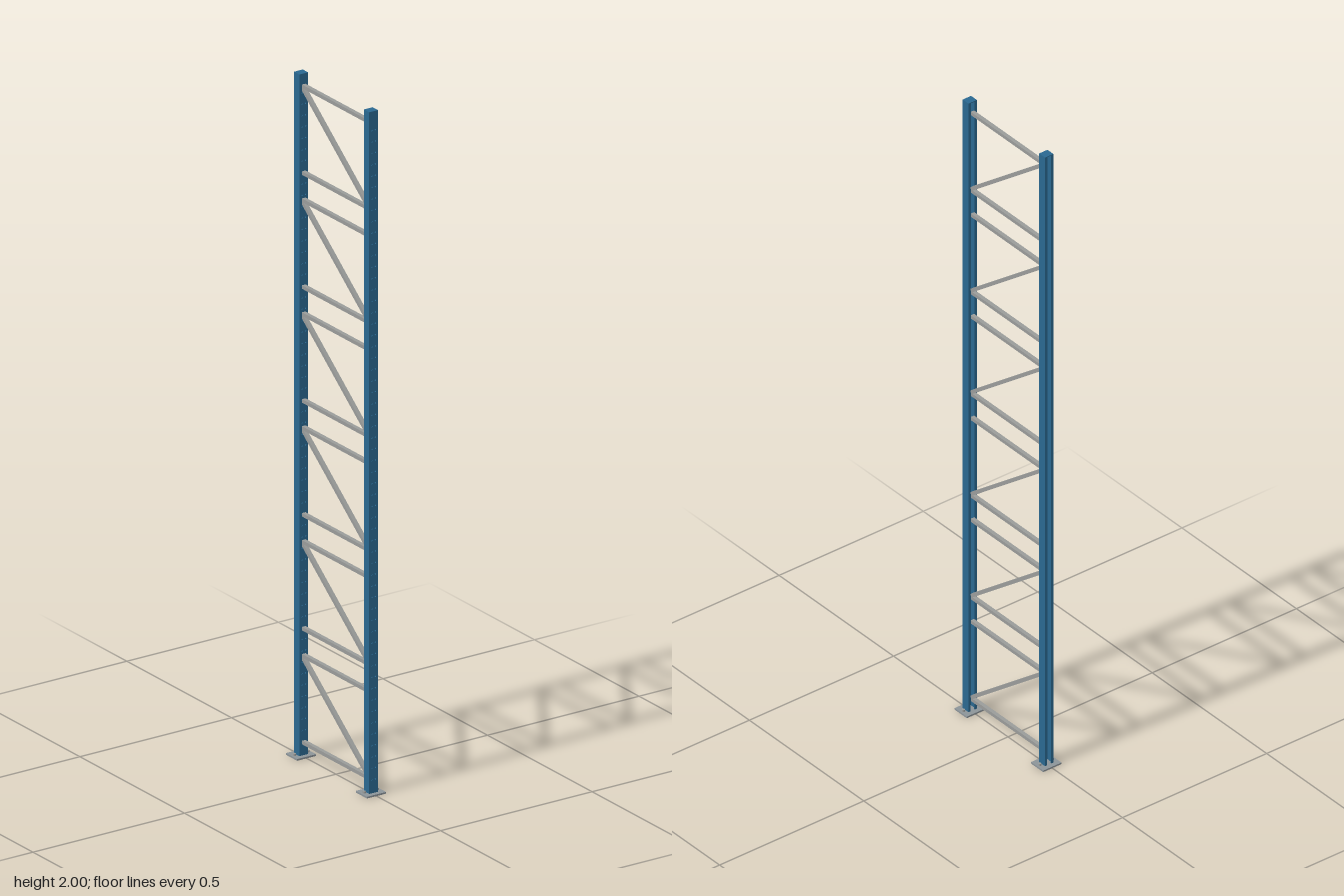
import * as THREE from 'three';

const blue = new THREE.MeshStandardMaterial({ color: 0x2a6890 });
const steel = new THREE.MeshStandardMaterial({ color: 0x9a9c9a });
const plateGrey = new THREE.MeshStandardMaterial({ color: 0x8c9499 });

const HEIGHT = 2, POST_Z = 0.167;
const W = 0.0145, D = 0.0128, T = 0.0025, LIP = 0.0075; // post half sizes, wall, lip
const PLATE_H = 0.005;

function add(parent, name, geometry, material, x = 0, y = 0, z = 0) {
  const mesh = new THREE.Mesh(geometry, material);
  mesh.name = name;
  mesh.position.set(x, y, z);
  parent.add(mesh);
  return mesh;
}

// Front web of a post, punched with two columns of holes
function webGeometry(length) {
  const shape = new THREE.Shape();
  shape.moveTo(-W, 0).lineTo(W, 0).lineTo(W, length).lineTo(-W, length).closePath();
  for (let y = 0.04; y < length - 0.02; y += 1 / 30) {
    for (const x of [-0.006, 0.006]) {
      const hole = new THREE.Path();
      hole.absarc(x, y, 0.0024, 0, Math.PI * 2, true);
      shape.holes.push(hole);
    }
  }
  return new THREE.ExtrudeGeometry(shape, { depth: T, bevelEnabled: false, curveSegments: 4 });
}

// L-shaped flange with a return lip, side = 1 or -1
function flangeGeometry(side, length) {
  const points = [[W, -D + T], [W, D], [W - LIP, D], [W - LIP, D - T], [W - T, D - T], [W - T, -D + T]];
  const shape = new THREE.Shape(points.map(([x, y]) => new THREE.Vector2(x * side, y)));
  const geometry = new THREE.ExtrudeGeometry(shape, { depth: length, bevelEnabled: false });
  return geometry.rotateX(-Math.PI / 2);
}

function createPost(z) {
  const post = new THREE.Group();
  post.name = 'upright';
  post.position.z = z;
  const length = HEIGHT - PLATE_H - T;
  add(post, 'punchedWeb', webGeometry(length), blue, 0, PLATE_H, D - T);
  for (const side of [-1, 1]) add(post, 'flange', flangeGeometry(side, length), blue, 0, PLATE_H, 0);
  add(post, 'topCap', new THREE.BoxGeometry(W * 2, T, D * 2), blue, 0, HEIGHT - T / 2, 0);

  // Base plate with anchor bolts
  add(post, 'basePlate', new THREE.BoxGeometry(0.063, PLATE_H, 0.0535), plateGrey, 0, PLATE_H / 2, 0);
  for (const side of [-1, 1]) {
    add(post, 'anchorBolt', new THREE.CylinderGeometry(0.0042, 0.0042, 0.006, 12), steel,
      side * 0.022, PLATE_H + 0.003, 0);
  }
  return post;
}

// Bar in the plane between the posts, from (y0, z0) to (y1, z1)
function createBar(name, y0, z0, y1, z1) {
  const length = Math.hypot(y1 - y0, z1 - z0);
  const bar = new THREE.Mesh(new THREE.BoxGeometry(0.0115, 0.0105, length), steel);
  bar.name = name;
  bar.position.set(0, (y0 + y1) / 2, (z0 + z1) / 2);
  bar.rotation.x = -Math.atan2(y1 - y0, z1 - z0);
  return bar;
}

export function createModel() {
  const model = new THREE.Group();
  model.name = 'rackFrame';
  for (const z of [-POST_Z, POST_Z]) model.add(createPost(z));

  // Six braced bays: two horizontals and one rising diagonal each
  const front = POST_Z - D + 0.001, back = -POST_Z + D - 0.001;
  for (let i = 0; i < 6; i++) {
    const low = 0.043 + i / 3, high = low + 0.254;
    model.add(createBar('lowerBrace', low, front, low, back));
    model.add(createBar('upperBrace', high, front, high, back));
    model.add(createBar('diagonalBrace', low + 0.006, front, high - 0.006, back));
  }
  return model;
}
